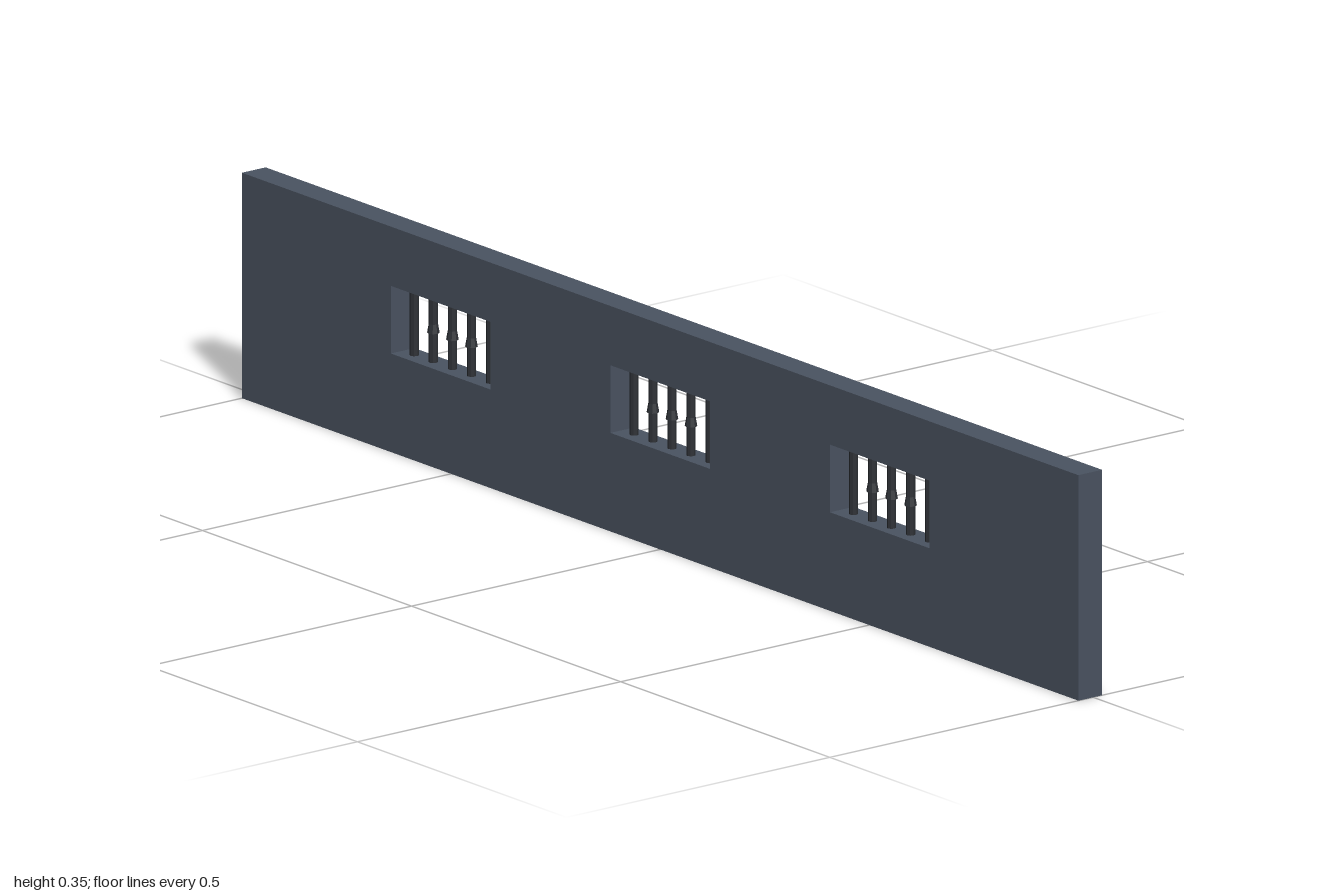
import * as THREE from 'three';

const WALL = { width: 2, height: 0.35, back: -0.017, depth: 0.045 };
const WINDOW = { width: 0.238, bottom: 0.153, top: 0.258, centres: [-0.525, 0, 0.525] };

function rectangle(Type, x0, y0, x1, y1) {
  const path = new Type();
  path.moveTo(x0, y0);
  path.lineTo(x1, y0);
  path.lineTo(x1, y1);
  path.lineTo(x0, y1);
  path.closePath();
  return path;
}

export function createModel() {
  const model = new THREE.Group();
  model.name = 'barredWall';
  const wallMaterial = new THREE.MeshStandardMaterial({ color: 0x4a5361, flatShading: true });
  const stoneMaterial = new THREE.MeshStandardMaterial({ color: 0x36393d, flatShading: true });
  const barMaterial = new THREE.MeshStandardMaterial({ color: 0x2e3136, flatShading: true });

  // Wall slab with three window openings
  const outline = rectangle(THREE.Shape, -WALL.width / 2, 0, WALL.width / 2, WALL.height);
  for (const x of WINDOW.centres) {
    outline.holes.push(rectangle(THREE.Path, x - WINDOW.width / 2, WINDOW.bottom,
      x + WINDOW.width / 2, WINDOW.top));
  }
  const wallGeometry = new THREE.ExtrudeGeometry(outline, { depth: WALL.depth, bevelEnabled: false });
  wallGeometry.translate(0, 0, WALL.back);
  const wall = new THREE.Mesh(wallGeometry, wallMaterial);
  wall.name = 'wall';
  model.add(wall);

  // Window bars, the inner ones with a small knuckle at mid height
  const height = WINDOW.top - WINDOW.bottom;
  const barGeometry = new THREE.CylinderGeometry(0.007, 0.007, height, 8);
  const knuckleGeometry = new THREE.CylinderGeometry(0.007, 0.0095, 0.014, 8);
  WINDOW.centres.forEach((x) => {
    const grille = new THREE.Group();
    grille.name = 'windowBars';
    grille.position.set(x, WINDOW.bottom + height / 2, WALL.back + WALL.depth / 2);
    for (let i = -2; i <= 2; i++) {
      const bar = new THREE.Mesh(barGeometry, barMaterial);
      bar.name = 'bar';
      bar.position.x = i * 0.0455;
      grille.add(bar);
      if (Math.abs(i) < 2) {
        const knuckle = new THREE.Mesh(knuckleGeometry, barMaterial);
        knuckle.name = 'barKnuckle';
        knuckle.position.x = i * 0.0455;
        grille.add(knuckle);
      }
    }
    model.add(grille);
  });

  // Raised stones on the back: left edge, bottom edge, width, height
  const stones = [
    [0.864, 0.103, 0.08, 0.038], [0.777, 0.187, 0.05, 0.053],
    [0.814, 0.08, 0.04, 0.023], [0.658, 0.252, 0.111, 0.054],
    [0.315, 0.105, 0.081, 0.038], [0.21, 0.153, 0.111, 0.053],
    [-0.252, 0.223, 0.081, 0.038], [-0.364, 0.153, 0.111, 0.053],
    [-0.237, 0.111, 0.04, 0.025], [-0.75, 0.202, 0.04, 0.025],
    [-0.883, 0.184, 0.052, 0.053], [-0.816, 0.119, 0.111, 0.053],
  ];
  const stoneDepth = 0.011;
  for (const [x, y, w, h] of stones) {
    const stone = new THREE.Mesh(new THREE.BoxGeometry(w, h, stoneDepth), stoneMaterial);
    stone.name = 'raisedStone';
    stone.position.set(x + w / 2, y + h / 2, WALL.back - stoneDepth / 2);
    model.add(stone);
  }
  return model;
}
